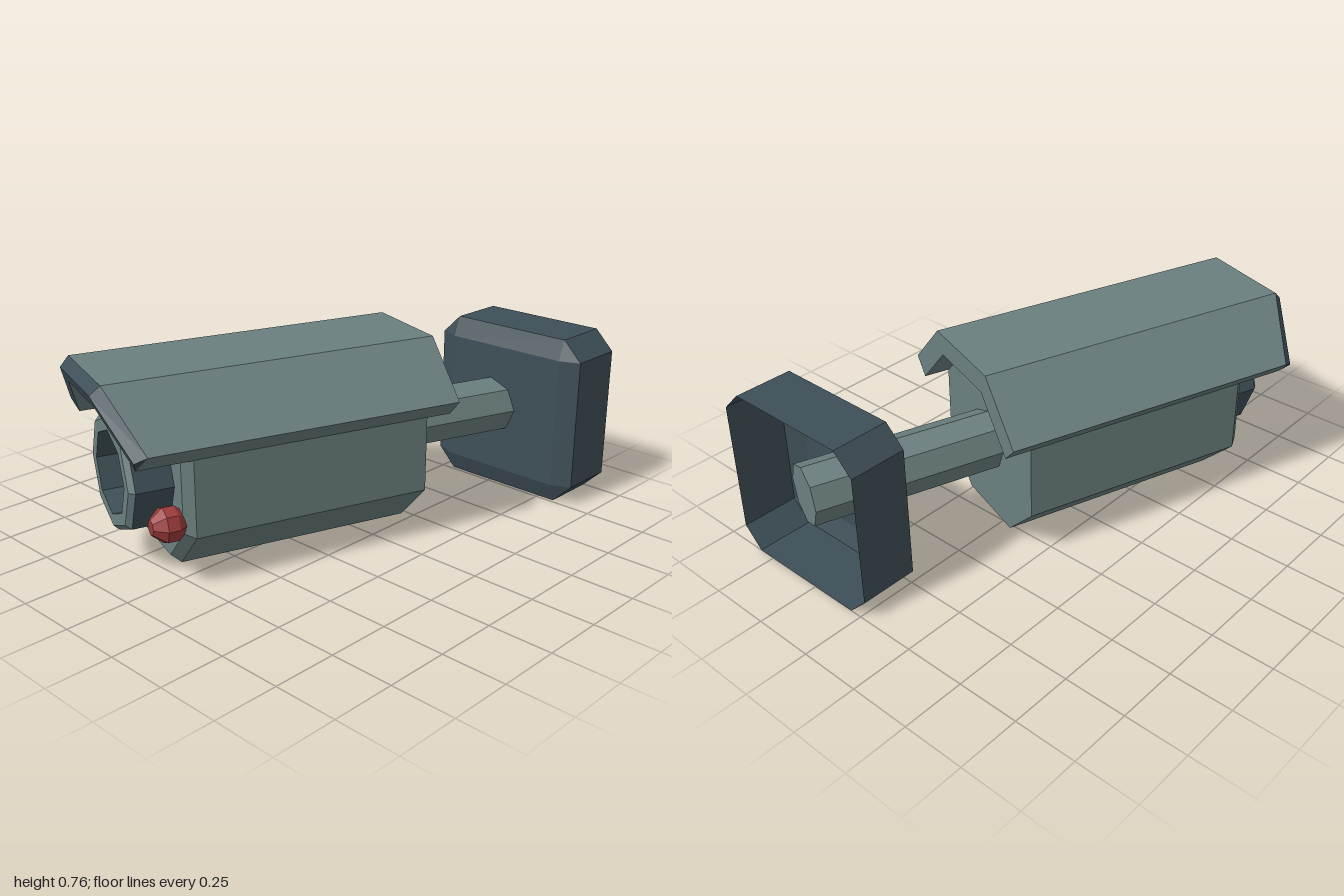
import * as THREE from 'three';

const shell = new THREE.MeshStandardMaterial({ color: 0x6a7f7e, flatShading: true });
shell.name = 'grey green';
const dark = new THREE.MeshStandardMaterial({ color: 0x3e4f57, flatShading: true, side: THREE.DoubleSide });
dark.name = 'dark slate';
const red = new THREE.MeshStandardMaterial({ color: 0x9c3a3a, flatShading: true });
red.name = 'lamp red';

// Mesh from a list of polygons, each fanned into triangles
function polyMesh(name, polys, material) {
  const pos = [];
  for (const p of polys) {
    for (let i = 1; i < p.length - 1; i++) pos.push(...p[0], ...p[i], ...p[i + 1]);
  }
  const g = new THREE.BufferGeometry();
  g.setAttribute('position', new THREE.Float32BufferAttribute(pos, 3));
  g.computeVertexNormals();
  const m = new THREE.Mesh(g, material);
  m.name = name;
  return m;
}

// Quads joining successive rings, with optional end caps
function loft(rings, capStart, capEnd) {
  const polys = [];
  for (let i = 0; i < rings.length - 1; i++) {
    const a = rings[i], b = rings[i + 1];
    a.forEach((p, j) => {
      const k = (j + 1) % a.length;
      polys.push([p, a[k], b[k], b[j]]);
    });
  }
  if (capStart) polys.push([...rings[0]].reverse());
  if (capEnd) polys.push(rings[rings.length - 1]);
  return polys;
}

// Eight-sided ring with corners on the axes
function ring(r, z, cx = 0, cy = 0.36) {
  return Array.from({ length: 8 }, (_, i) => {
    const a = (i * Math.PI) / 4;
    return [cx + r * Math.cos(a), cy + r * Math.sin(a), z];
  });
}

// Rectangle with cut corners; c and d are the half lengths of its flats
function cutRect(w, h, c, d, z, cx = 0, cy = 0.36) {
  return [[w, -d], [w, d], [c, h], [-c, h], [-w, d], [-w, -d], [-c, -h], [c, -h]]
    .map(([x, y]) => [cx + x, cy + y, z]);
}

export function createModel() {
  const model = new THREE.Group();
  model.name = 'securityCamera';

  // Hollow wall mount, open at the back
  const bx = 0.312, by = 0.3475;
  model.add(polyMesh('wallMount', loft([
    cutRect(0.342, 0.3475, 0.262, 0.2675, -1, bx, by),
    cutRect(0.342, 0.3475, 0.262, 0.2675, -0.765, bx, by),
    cutRect(0.262, 0.2675, 0.262, 0.2675, -0.732, bx, by),
  ], false, true), dark));

  // Everything else is turned to one side
  const head = new THREE.Group();
  head.name = 'cameraHead';
  head.rotation.y = -0.328;
  model.add(head);

  head.add(polyMesh('arm', loft([ring(0.12, -1.0, 0, 0.355), ring(0.12, -0.22, 0, 0.355)], true, true), shell));

  // Housing with a bevelled front edge
  head.add(polyMesh('housing', loft([
    cutRect(0.337, 0.335, 0.165, 0.165, -0.252),
    cutRect(0.337, 0.335, 0.165, 0.165, 0.685),
    cutRect(0.304, 0.302, 0.152, 0.152, 0.722),
  ], true, true), shell));

  // Lens barrel, bezel and recess
  head.add(polyMesh('lensBarrel', loft([ring(0.232, 0.7), ring(0.232, 0.865)]), dark));
  head.add(polyMesh('lensBezel', loft([ring(0.232, 0.865), ring(0.212, 0.885), ring(0.165, 0.885)]), shell));
  head.add(polyMesh('lensRecess', loft([ring(0.165, 0.885), ring(0.165, 0.745)], false, true), dark));

  // Faceted indicator lamp
  head.add(polyMesh('indicatorLamp', loft(
    [[0.03, 0.695], [0.068, 0.742], [0.068, 0.785], [0.03, 0.83]].map(([r, z]) => ring(r, z, 0.27, 0.24)),
    true, true), red));

  // Bent sun shield: outer line over the top, then inner line back
  const outer = [[0.397, 0.555], [0.195, 0.76], [-0.195, 0.76], [-0.397, 0.555]];
  const inset = [[0.375, 0.533], [0.18, 0.725], [-0.18, 0.725], [-0.375, 0.533]];
  const inner = [[-0.335, 0.49], [-0.155, 0.675], [0.155, 0.675], [0.335, 0.49]];
  const frontZ = (y) => 0.99 - 0.42 * (0.725 - y);
  const at = (pts, z) => pts.map(([x, y]) => [x, y, z(y)]);
  const under = at(inner, frontZ);
  const rim = [...at(outer, (y) => frontZ(y) - 0.052), ...under];
  const lip = [...at(inset, frontZ), ...under];
  const back = at([...outer, ...inner], () => -0.355);
  const strips = (r) => [0, 1, 2].map((j) => [r[j], r[j + 1], r[6 - j], r[7 - j]]);

  head.add(polyMesh('sunShield', [
    ...loft([back, rim]),
    ...strips(back).map((p) => p.reverse()),
  ], shell));

  // Bevel and sloping front face of the shield
  const bevel = [0, 1, 2].map((j) => [rim[j], rim[j + 1], lip[j + 1], lip[j]]);
  head.add(polyMesh('sunShieldFront', [
    ...bevel,
    ...strips(lip),
    [rim[3], rim[4], lip[3]],
    [rim[7], rim[0], lip[0]],
  ], dark));

  return model;
}
